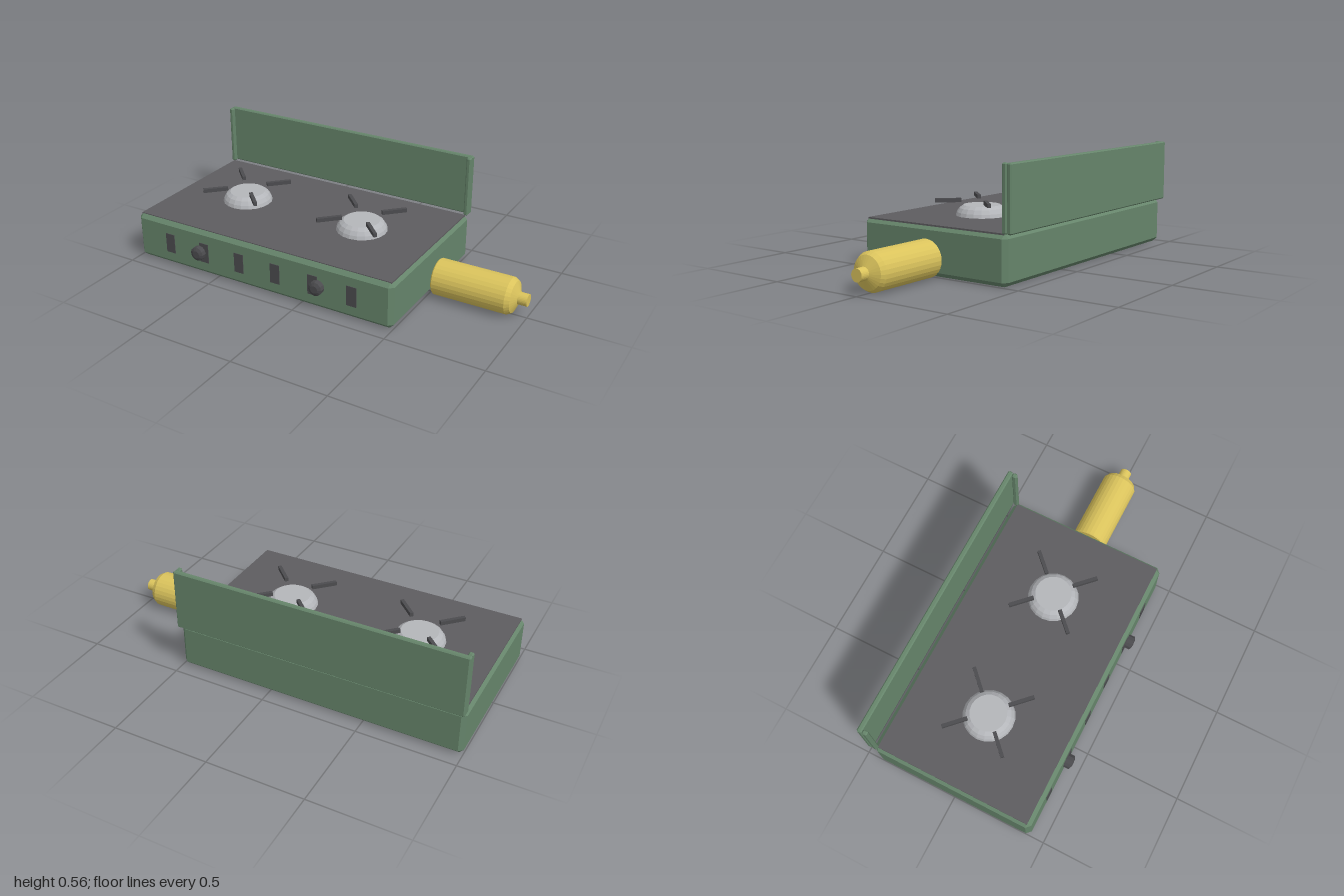
import * as THREE from 'three';
import { ConvexGeometry } from 'three/addons/geometries/ConvexGeometry.js';

const mat = (name, color) => {
  const m = new THREE.MeshStandardMaterial({ color });
  m.name = name;
  m.flatShading = true;
  return m;
};

// Box with every edge chamfered by c, given by its min and max corners
function chamferBox(min, max, c) {
  const centre = min.map((v, i) => (v + max[i]) / 2);
  const half = min.map((v, i) => (max[i] - v) / 2);
  const points = [];
  for (const sx of [-1, 1]) for (const sy of [-1, 1]) for (const sz of [-1, 1]) {
    for (let axis = 0; axis < 3; axis++) {
      const p = [sx, sy, sz].map((s, i) => centre[i] + s * (half[i] - (i === axis ? 0 : c)));
      points.push(new THREE.Vector3(...p));
    }
  }
  return new ConvexGeometry(points);
}

const lathe = (profile, sides) =>
  new THREE.LatheGeometry(profile.map(([r, y]) => new THREE.Vector2(r, y)), sides);

export function createModel() {
  const green = mat('greenEnamel', 0x66856b);
  const plate = mat('darkPlate', 0x5e5d60);
  const iron = mat('castIron', 0x4c4c4f);
  const steel = mat('burnerSteel', 0xb4b6ba);
  const gold = mat('gasYellow', 0xdac35c);

  const model = new THREE.Group();
  model.name = 'campStove';
  const add = (name, geometry, material, x = 0, y = 0, z = 0, parent = model) => {
    const mesh = new THREE.Mesh(geometry, material);
    mesh.name = name;
    mesh.position.set(x, y, z);
    parent.add(mesh);
    return mesh;
  };

  // Case and cooking surface
  add('case', chamferBox([-1, 0, -0.432], [0.5, 0.243, 0.425], 0.022), green);
  add('cookTop', new THREE.BoxGeometry(1.47, 0.008, 0.817), plate, -0.25, 0.241, -0.0035);

  // Raised lid with a narrow return at each end
  add('lid', chamferBox([-1, 0.243, -0.46], [0.5, 0.563, -0.434], 0.006), green);
  add('lidRightFlap', chamferBox([-1, 0.243, -0.433], [-0.976, 0.563, -0.407], 0.006), green);
  add('lidLeftFlap', chamferBox([0.476, 0.243, -0.433], [0.5, 0.563, -0.407], 0.006), green);

  // Burners, pot supports and control knobs
  const burnerGeo = lathe([[0.132, 0], [0.126, 0.02], [0.113, 0.04], [0.093, 0.054], [0, 0.054]], 20);
  const barGeo = new THREE.BoxGeometry(0.13, 0.02, 0.018);
  const knobGeo = lathe([[0.037, 0], [0.037, 0.032], [0.02, 0.04], [0, 0.04]], 12);
  for (const x of [-0.6, 0.1]) {
    const burner = new THREE.Group();
    burner.name = 'burner';
    burner.position.set(x, 0.243, -0.004);
    model.add(burner);
    add('burnerCap', burnerGeo, steel, 0, 0, 0, burner);
    for (let i = 0; i < 4; i++) {
      const a = Math.PI / 4 + i * Math.PI / 2;
      const bar = add('potSupport', barGeo, iron, 0.17 * Math.cos(a), 0.079, -0.17 * Math.sin(a), burner);
      bar.rotation.y = a;
    }
    add('knob', knobGeo, iron, x, 0.122, 0.422).rotation.x = Math.PI / 2;
  }

  // Vent slots along the front
  const slotGeo = new THREE.BoxGeometry(0.054, 0.105, 0.008);
  for (let i = 0; i < 6; i++) add('ventSlot', slotGeo, iron, -0.79 + i * 0.215, 0.122, 0.424);

  // Gas canister lying on its side
  const canister = lathe([[0, 0], [0.088, 0], [0.093, 0.006], [0.093, 0.38], [0.08, 0.403],
    [0.031, 0.424], [0.031, 0.47], [0, 0.47]], 28);
  add('gasCanister', canister, gold, 0.53, 0.094, -0.004).rotation.z = -Math.PI / 2;

  return model;
}
